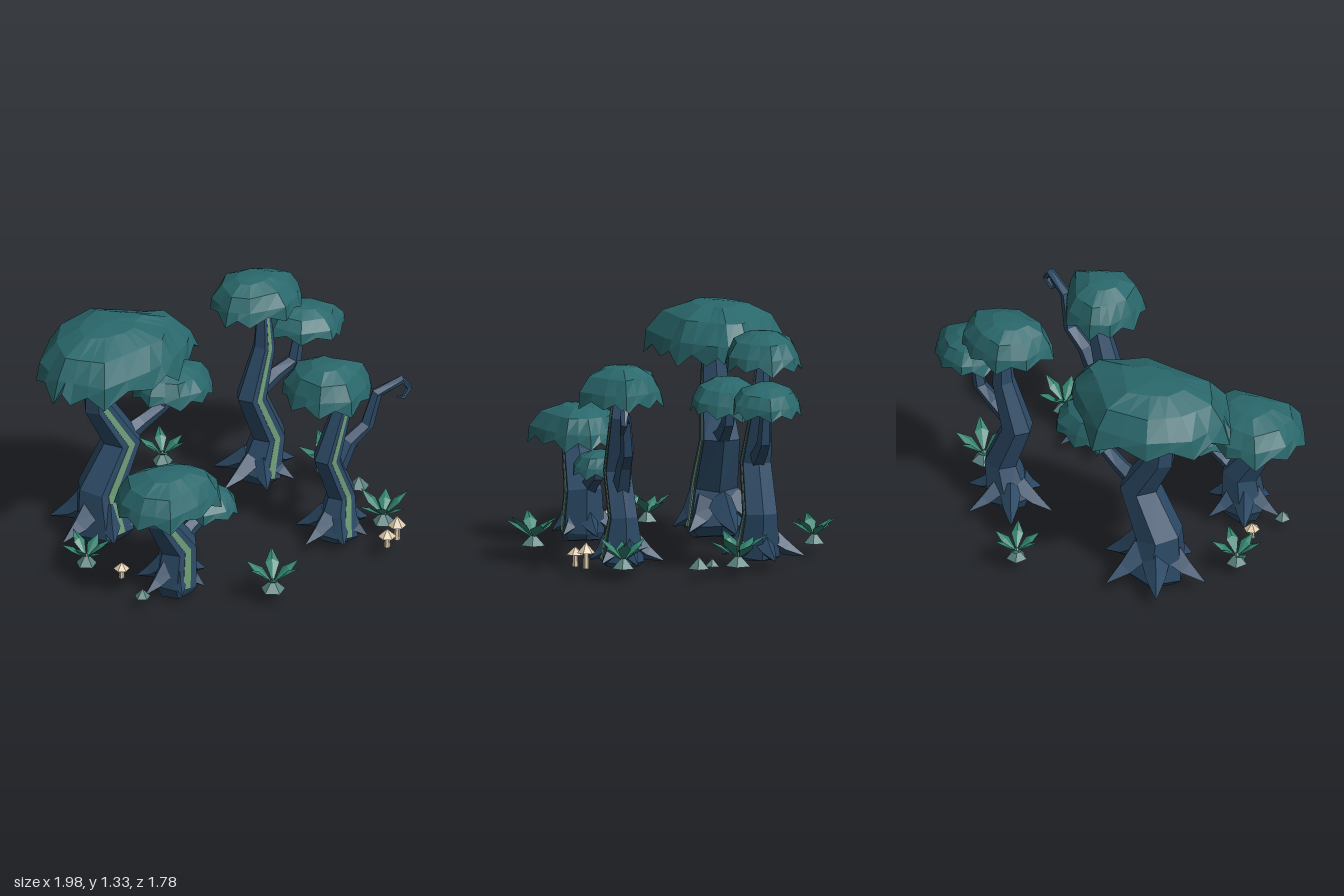
import * as THREE from 'three';

const paint = (color) => new THREE.MeshStandardMaterial({ color, flatShading: true, side: THREE.DoubleSide });
const bark = paint(0x2c4a66), glow = paint(0x6e9a78), foliage = paint(0x2a686c);
const leafMat = paint(0x2f7f6c), stone = paint(0x5b8482), cream = paint(0xdccbab);
const V = (x, y, z) => new THREE.Vector3(x, y, z);
const GROUND = 0.06;

// Flat-shaded skin over rings of points, closed at both ends
function loft(rings) {
  const pos = [];
  const tri = (...p) => p.forEach((v) => pos.push(v.x, v.y, v.z));
  const n = rings[0].length;
  const mid = (r) => r.reduce((s, v) => s.add(v), V(0, 0, 0)).divideScalar(n);
  const first = rings[0], last = rings[rings.length - 1];
  const c0 = mid(first), c1 = mid(last);
  for (let j = 0; j < n; j++) {
    const k = (j + 1) % n;
    tri(c0, first[k], first[j]);
    tri(c1, last[j], last[k]);
    for (let i = 0; i < rings.length - 1; i++) {
      const a = rings[i], b = rings[i + 1];
      tri(a[j], a[k], b[k]);
      tri(a[j], b[k], b[j]);
    }
  }
  const g = new THREE.BufferGeometry();
  g.setAttribute('position', new THREE.Float32BufferAttribute(pos, 3));
  g.computeVertexNormals();
  return g;
}

// Faceted limb through [x, y, z, radius] stations
function limb(st, sides = 6, ref = V(0, 0, 1), phase = 0) {
  const p = st.map((s) => V(s[0], s[1], s[2]));
  return loft(st.map((s, i) => {
    const t = p[Math.min(i + 1, p.length - 1)].clone().sub(p[Math.max(i - 1, 0)]).normalize();
    const n1 = ref.clone().cross(t).normalize(), n2 = t.clone().cross(n1);
    return Array.from({ length: sides }, (_, j) => {
      const a = (j / sides) * Math.PI * 2 + phase;
      return p[i].clone().addScaledVector(n1, Math.cos(a) * s[3]).addScaledVector(n2, Math.sin(a) * s[3]);
    });
  }));
}

function add(group, name, geometry, material) {
  const m = new THREE.Mesh(geometry, material);
  m.name = name;
  group.add(m);
  return m;
}

// Hollow dome over a plan outline of [x, z], with drooping teeth at the rim
function canopy(outline, px, pz, rimY, topY, tilt = 0) {
  const pts = [];
  const o = [...outline].reverse();
  o.forEach(([x, z], i) => {
    const [x2, z2] = o[(i + 1) % o.length];
    pts.push([x, z, false], [(x + x2) / 2, (z + z2) / 2, true]);
  });
  const h = topY - rimY;
  const profile = [[0.3, 0.7], [0.8, 0.36], [1, 0], [0.94, 0.42], [0.74, 0.77], [0.38, 0.96], [0.02, 1]];
  return loft(profile.map(([s, y], i) => pts.map(([x, z, gap], j) => {
    // uneven dome rings, kept straight between outline corners for broad facets
    const wave = (c) => (i > 2 && i < 6 ? 0.035 * Math.sin((c % o.length) * 2.3 + i * 1.7) : 0);
    const c = j >> 1;
    const k = s + (gap ? (wave(c) + wave(c + 1)) / 2 : wave(c));
    const tooth = i === 2 ? (gap ? 0.24 : 0.05 * (1 + Math.sin(j * 1.9))) : 0;
    return V(px + (x - px) * k, rimY + h * (y + tooth) + tilt * (x - px) * s, pz + (z - pz) * k);
  })));
}

function tree(name, { trunk, branch, spread, crowns }) {
  const g = new THREE.Group();
  g.name = name;
  add(g, 'trunk', limb(trunk), bark);
  add(g, 'branch', limb(branch, 5), bark);
  // glowing stripe set into the front of the trunk
  const stripe = trunk.slice(1).map(([x, y, z, r]) => [x, y, z + r * 0.72, r * 0.25]);
  add(g, 'stripe', limb(stripe, 4, V(0, 0, 1), Math.PI / 4), glow);
  // six pointed roots, longer towards the back
  const [bx, , bz, br] = trunk[1];
  for (let i = 0; i < 6; i++) {
    const a = (i / 6) * Math.PI * 2 - 1.22, c = Math.cos(a), s = Math.sin(a);
    const R = spread * (s > 0.3 ? 0.75 : 1);
    add(g, 'root', limb([
      [bx + c * br * 0.4, GROUND + br * 0.85, bz + s * br * 0.4, br * 0.5],
      [bx + c * R * 0.62, GROUND + br * 0.33, bz + s * R * 0.62, br * 0.3],
      [bx + c * R, GROUND + 0.005, bz + s * R, 0.003],
    ], 4, V(0, 1, 0)), bark);
  }
  crowns.forEach((c) => add(g, 'canopy', canopy(...c), foliage));
  return g;
}

// Rosette of folded leaves on a small mound
function plant(x, z, size, turn) {
  const g = new THREE.Group();
  g.name = 'plant';
  for (let i = 0; i < 6; i++) {
    const leaf = new THREE.BufferGeometry();
    leaf.setAttribute('position', new THREE.Float32BufferAttribute([
      0, 0.03, 0, 0.52, 0.46, 0.24, 0.55, 0.56, 0,
      0.52, 0.46, 0.24, 1, 0.74, 0, 0.55, 0.56, 0,
      0, 0.03, 0, 0.55, 0.56, 0, 0.52, 0.46, -0.24,
      0.55, 0.56, 0, 1, 0.74, 0, 0.52, 0.46, -0.24], 3));
    leaf.computeVertexNormals();
    const m = add(g, 'leaf', leaf, leafMat);
    m.scale.set(size, size * (i % 2 ? 1.15 : 0.85), size);
    m.position.y = 0.035;
    m.rotation.y = turn + (i / 6) * Math.PI * 2;
  }
  add(g, 'mound', new THREE.ConeGeometry(size * 0.42, 0.07, 5).translate(0, 0.035, 0), stone);
  g.position.set(x, GROUND, z);
  return g;
}

function mushroom(x, z, height, r) {
  const g = new THREE.Group();
  g.name = 'mushroom';
  add(g, 'stem', new THREE.CylinderGeometry(r * 0.26, r * 0.36, height * 0.75, 6).translate(0, height * 0.37, 0), cream);
  add(g, 'cap', new THREE.ConeGeometry(r, height * 0.4, 6).translate(0, height * 0.8, 0), cream);
  g.position.set(x, GROUND, z);
  return g;
}

export function createModel() {
  const model = new THREE.Group();
  model.name = 'mushroomForest';

  model.add(tree('backLeftTree', {
    trunk: [[-0.54, 0.015, -0.35, 0.13], [-0.55, 0.07, -0.35, 0.18], [-0.58, 0.3, -0.35, 0.135], [-0.44, 0.57, -0.35, 0.115],
      [-0.59, 0.82, -0.355, 0.085], [-0.63, 1.18, -0.345, 0.05]],
    branch: [[-0.44, 0.57, -0.35, 0.06], [-0.31, 0.63, -0.35, 0.045], [-0.18, 0.7, -0.34, 0.04], [-0.14, 0.87, -0.34, 0.025]],
    spread: 0.31,
    crowns: [
      [[[-0.97, -0.22], [-0.92, -0.47], [-0.73, -0.65], [-0.42, -0.74], [-0.1, -0.5], [-0.01, -0.42], [0.03, -0.3],
        [-0.1, -0.2], [-0.25, -0.07], [-0.45, -0.02], [-0.78, 0], [-0.91, -0.14]], -0.54, -0.36, 1.0, 1.32],
      [[[-0.12, -0.52], [0.05, -0.47], [0.14, -0.35], [0.07, -0.22], [-0.05, -0.14], [-0.2, -0.13], [-0.35, -0.22],
        [-0.35, -0.38], [-0.28, -0.5]], -0.16, -0.33, 0.76, 0.95, -0.07],
    ],
  }));

  model.add(tree('backRightTree', {
    trunk: [[0.46, 0.045, -0.36, 0.1], [0.46, 0.08, -0.36, 0.13], [0.52, 0.3, -0.36, 0.1], [0.41, 0.57, -0.36, 0.09],
      [0.5, 0.85, -0.37, 0.065], [0.5, 1.19, -0.38, 0.03]],
    branch: [[0.44, 0.58, -0.36, 0.05], [0.57, 0.66, -0.36, 0.045], [0.68, 0.72, -0.35, 0.04], [0.73, 0.98, -0.35, 0.025]],
    spread: 0.26,
    crowns: [
      [[[0.2, -0.3], [0.23, -0.5], [0.36, -0.61], [0.55, -0.59], [0.67, -0.52], [0.75, -0.38], [0.66, -0.25],
        [0.52, -0.18], [0.3, -0.21]], 0.43, -0.4, 1.08, 1.295],
      [[[0.55, -0.48], [0.65, -0.55], [0.8, -0.53], [0.92, -0.45], [0.99, -0.32], [0.88, -0.2], [0.8, -0.15],
        [0.62, -0.19], [0.52, -0.33]], 0.74, -0.35, 0.88, 1.05, -0.08],
    ],
  }));

  model.add(tree('frontLeftTree', {
    trunk: [[-0.56, 0.015, 0.39, 0.1], [-0.57, 0.07, 0.39, 0.13], [-0.55, 0.29, 0.39, 0.11], [-0.68, 0.49, 0.4, 0.08],
      [-0.7, 0.66, 0.4, 0.045]],
    branch: [[-0.55, 0.28, 0.38, 0.06], [-0.46, 0.35, 0.36, 0.045], [-0.37, 0.4, 0.35, 0.04], [-0.33, 0.5, 0.34, 0.025]],
    spread: 0.22,
    crowns: [
      [[[-0.91, 0.35], [-0.83, 0.17], [-0.65, 0.14], [-0.45, 0.2], [-0.35, 0.28], [-0.3, 0.4], [-0.36, 0.53],
        [-0.55, 0.61], [-0.77, 0.65], [-0.9, 0.52]], -0.62, 0.39, 0.53, 0.765],
      [[[-0.41, 0.21], [-0.32, 0.17], [-0.2, 0.22], [-0.16, 0.35], [-0.2, 0.45], [-0.3, 0.5], [-0.44, 0.47],
        [-0.49, 0.33]], -0.33, 0.33, 0.4, 0.55],
    ],
  }));

  model.add(tree('frontRightTree', {
    trunk: [[0.47, 0.035, 0.4, 0.1], [0.47, 0.07, 0.4, 0.13], [0.5, 0.3, 0.4, 0.085], [0.4, 0.55, 0.41, 0.08],
      [0.5, 0.86, 0.42, 0.055], [0.47, 1.03, 0.41, 0.03]],
    branch: [[0.46, 0.44, 0.4, 0.055], [0.55, 0.6, 0.4, 0.045], [0.66, 0.68, 0.41, 0.04], [0.71, 0.87, 0.43, 0.032],
      [0.85, 0.93, 0.47, 0.025], [0.89, 0.87, 0.48, 0.018], [0.85, 0.82, 0.48, 0.012], [0.81, 0.84, 0.48, 0.004]],
    spread: 0.23,
    crowns: [
      [[[0.19, 0.38], [0.23, 0.22], [0.32, 0.15], [0.5, 0.17], [0.58, 0.27], [0.69, 0.42], [0.6, 0.53],
        [0.42, 0.63], [0.25, 0.56]], 0.42, 0.39, 0.89, 1.13],
    ],
  }));

  // undergrowth
  [[0.09, -0.76, 0.14, 0.1], [-0.17, 0.75, 0.165, 0], [-0.87, -0.04, 0.14, 0.5], [0.74, 0.45, 0.15, 0.9], [0.79, -0.18, 0.17, 0.3]]
    .forEach((p) => model.add(plant(...p)));
  [[0.61, 0.69, 0.11, 0.05], [0.7, 0.65, 0.145, 0.05], [-0.79, 0.19, 0.095, 0.045]]
    .forEach((p) => model.add(mushroom(...p)));
  [[0.84, 0.05, 0.06], [0.77, -0.04, 0.04], [-0.81, 0.43, 0.045]].forEach(([x, z, r]) => {
    const m = add(model, 'rock', new THREE.ConeGeometry(r, r * 1.1, 5).translate(0, r * 0.55, 0), stone);
    m.position.set(x, GROUND, z);
  });
  return model;
}
